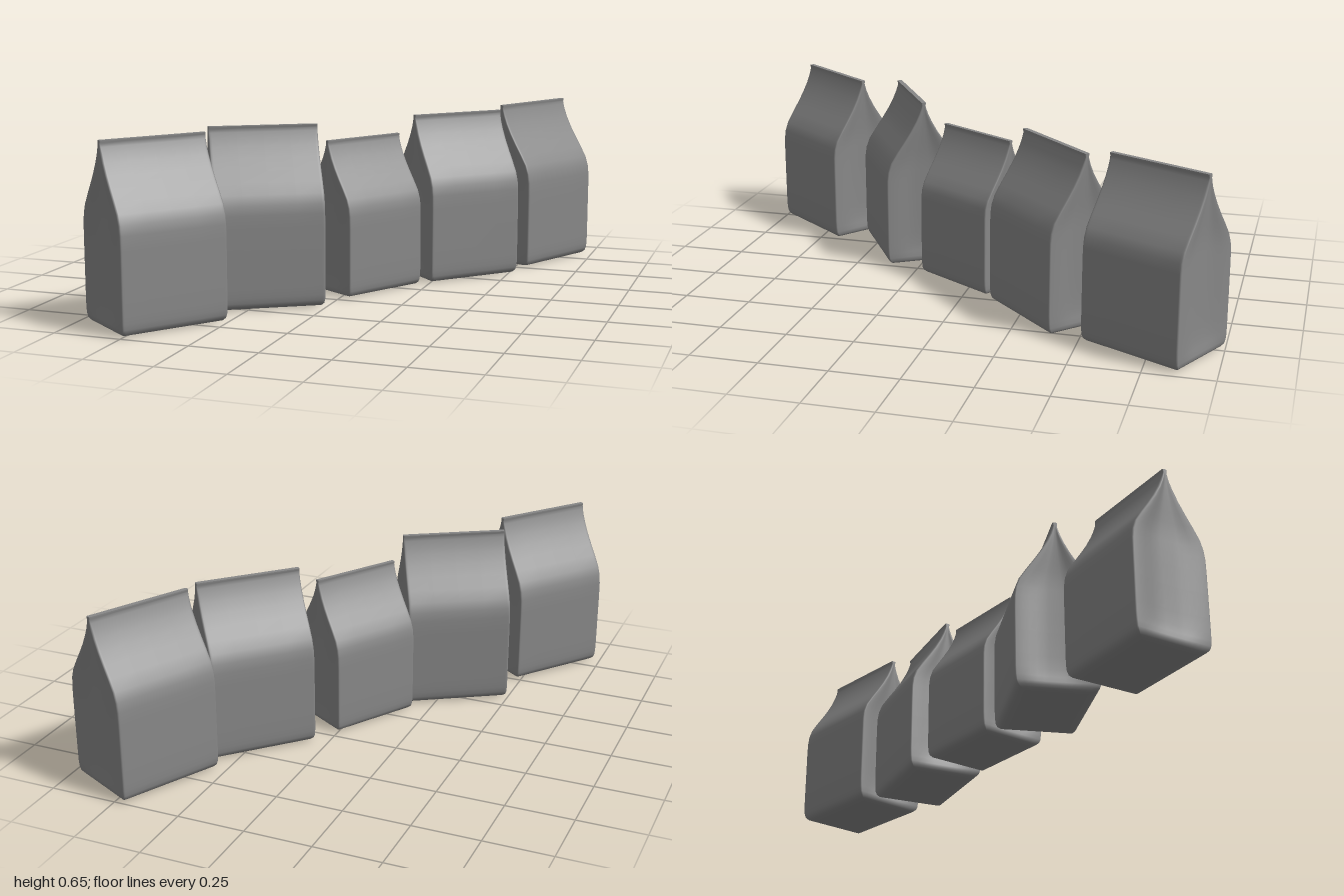
import * as THREE from 'three';

const HALF_L = 0.2;

// Levels of the bag: height, half width, amount the ends draw in, depth of the end dent
const LEVELS = [
  [0.003, 0.105, 0.03, 0], [0.004, 0.12, 0.02, 0], [0.008, 0.134, 0.01, 0],
  [0.017, 0.144, 0.003, 0.001], [0.03, 0.149, 0.001, 0.003], [0.05, 0.151, 0, 0.008],
  [0.08, 0.152, 0, 0.012], [0.13, 0.152, 0, 0.014], [0.22, 0.152, 0, 0.015],
  [0.3, 0.152, 0, 0.015], [0.35, 0.151, 0, 0.015], [0.385, 0.146, 0, 0.015],
  [0.42, 0.133, 0, 0.015], [0.46, 0.107, 0, 0.013], [0.5, 0.079, 0, 0.01],
  [0.54, 0.053, 0, 0.007], [0.58, 0.031, 0, 0.004], [0.61, 0.018, 0, 0.002],
  [0.632, 0.01, 0, 0], [0.643, 0.007, 0, 0], [0.648, 0.009, 0, 0], [0.655, 0.009, 0, 0],
];

// One closed outline: flat long sides, tight corners, softly dented ends
function outline([, w, drawIn, dent]) {
  const l = HALF_L - drawIn, r = Math.min(0.006, w * 0.4);
  const half = [];
  for (const t of [-0.97, -0.5, 0, 0.5, 0.97]) half.push([w, t * (l - r)]);
  for (let i = 0; i <= 3; i++) {
    const a = (i / 3) * Math.PI / 2;
    half.push([w - r + r * Math.cos(a), l - r + r * Math.sin(a)]);
  }
  for (let i = 1; i < 12; i++) {
    const s = 1 - i / 6;
    half.push([(w - r) * s, l - dent * THREE.MathUtils.smoothstep(1 - Math.abs(s), 0, 0.8)]);
  }
  for (let i = 0; i <= 3; i++) {
    const a = (1 + i / 3) * Math.PI / 2;
    half.push([-w + r + r * Math.cos(a), l - r + r * Math.sin(a)]);
  }
  return [...half, ...half.map(([x, z]) => [-x, -z])];
}

function bagGeometry() {
  const pos = [], index = [];
  const rings = LEVELS.map(outline);
  const n = rings[0].length;
  rings.forEach((ring, i) => ring.forEach(([x, z]) => pos.push(x, LEVELS[i][0], z)));
  for (let i = 0; i < rings.length - 1; i++) {
    for (let j = 0; j < n; j++) {
      const a = i * n + j, b = i * n + (j + 1) % n;
      index.push(a, a + n, b, b, a + n, b + n);
    }
  }
  // Base and top edge, with their own vertices so the rim stays crisp
  const cap = (row, up) => {
    const c = pos.length / 3, y = LEVELS[row][0];
    pos.push(0, y, 0);
    rings[row].forEach(([x, z]) => pos.push(x, y, z));
    for (let j = 0; j < n; j++) {
      const a = c + 1 + j, b = c + 1 + (j + 1) % n;
      index.push(c, up ? b : a, up ? a : b);
    }
  };
  cap(0, false);
  cap(rings.length - 1, true);
  const g = new THREE.BufferGeometry();
  g.setAttribute('position', new THREE.Float32BufferAttribute(pos, 3));
  g.setIndex(index);
  g.computeVertexNormals();
  return g;
}

export function createModel() {
  const group = new THREE.Group();
  group.name = 'rowOfBags';
  const geometry = bagGeometry();
  const material = new THREE.MeshStandardMaterial({ color: 0x888888 });
  // x, z, turn, scale of each bag from back to front
  const bags = [
    [0.505, -0.755, -0.464, 1],
    [0.29, -0.355, -0.767, 0.985],
    [0.017, 0, -0.545, 0.887],
    [-0.25, 0.345, -1.024, 1],
    [-0.49, 0.747, -0.651, 1],
  ];
  bags.forEach(([x, z, turn, scale], i) => {
    const bag = new THREE.Mesh(geometry, material);
    bag.name = `paperBag${i + 1}`;
    bag.position.set(x, 0, z);
    bag.rotation.y = turn;
    bag.scale.setScalar(scale);
    group.add(bag);
  });
  return group;
}
